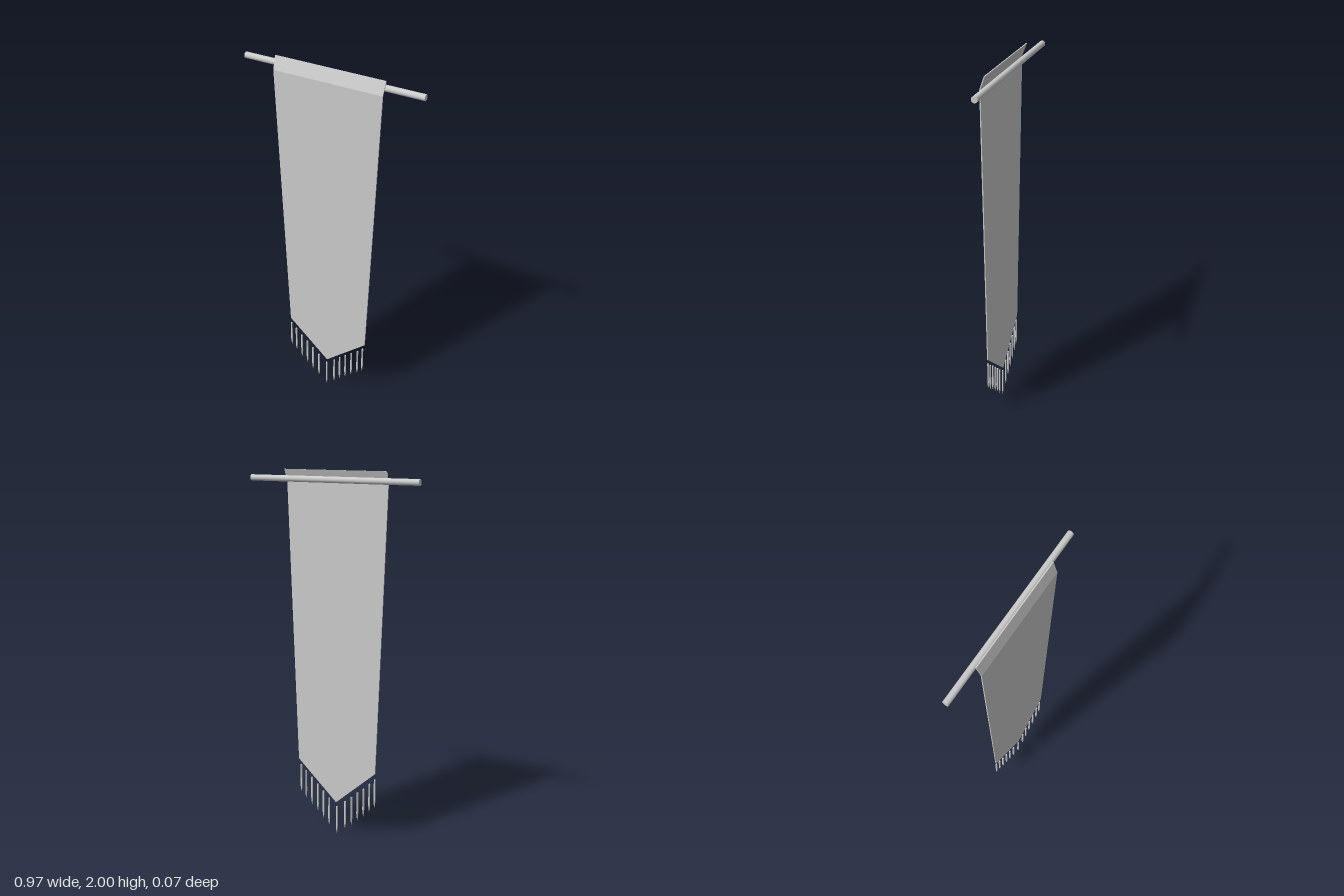
import * as THREE from 'three';

const material = new THREE.MeshStandardMaterial({ color: 0xcccccc });
const flatMaterial = new THREE.MeshStandardMaterial({ color: 0xcccccc, flatShading: true });

function add(group, name, geometry, mat, x = 0, y = 0, z = 0) {
  const mesh = new THREE.Mesh(geometry, mat);
  mesh.name = name;
  mesh.position.set(x, y, z);
  group.add(mesh);
  return mesh;
}

// Thin slab whose rows follow the banner outline: top hem, fold, shoulders, tip
function clothGeometry() {
  const rows = [
    { y: 2.0, half: 0.297, z: 0.004 },
    { y: 1.935, half: 0.294, z: 0.028 },
    { y: 0.405, half: 0.24, z: 0.028 },
    { y: 0.19, half: 0, z: 0.028 },
  ];
  const geometry = new THREE.BoxGeometry(2, 3, 0.006, 1, 3, 1);
  const p = geometry.attributes.position;
  for (let i = 0; i < p.count; i++) {
    const row = rows[Math.round(1.5 - p.getY(i))];
    p.setXYZ(i, p.getX(i) * row.half, row.y, p.getZ(i) + row.z);
  }
  geometry.computeVertexNormals();
  return geometry;
}

export function createModel() {
  const model = new THREE.Group();
  model.name = 'hangingBanner';

  // Horizontal rod behind the folded hem
  const rod = new THREE.CylinderGeometry(0.016, 0.016, 0.97, 24).rotateZ(Math.PI / 2);
  add(model, 'rod', rod, material, 0, 1.953, -0.021);

  add(model, 'cloth', clothGeometry(), flatMaterial);

  // Pointed tassels hanging below the V-shaped hem: [x, top]
  const profile = [[0, 0], [0.004, 0.022], [0.006, 0.045], [0.005, 0.165], [0, 0.165]]
    .map(([r, y]) => new THREE.Vector2(r, y));
  const tassel = new THREE.LatheGeometry(profile, 8);
  const fringe = new THREE.Group();
  fringe.name = 'fringe';
  const spots = [
    [-0.237, 0.37], [-0.205, 0.34], [-0.169, 0.303], [-0.132, 0.273], [-0.095, 0.238],
    [-0.055, 0.205], [-0.003, 0.165], [0.047, 0.205], [0.083, 0.24], [0.12, 0.273],
    [0.158, 0.307], [0.197, 0.338], [0.228, 0.37],
  ];
  for (const [x, top] of spots) add(fringe, 'tassel', tassel, flatMaterial, x, top - 0.165, 0.03);
  model.add(fringe);

  return model;
}
